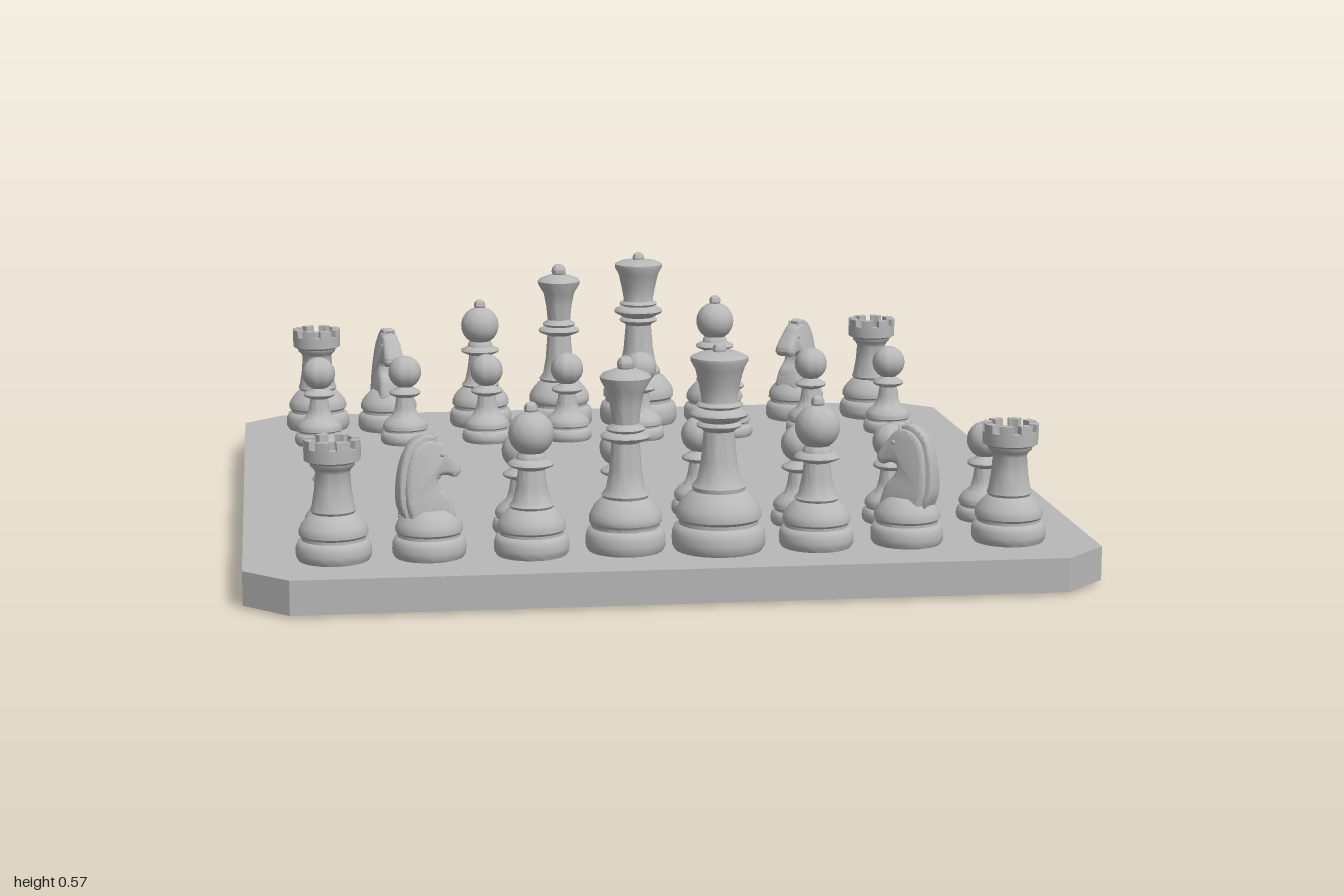
import * as THREE from 'three';
import { toCreasedNormals } from 'three/addons/utils/BufferGeometryUtils.js';

const stone = new THREE.MeshStandardMaterial({ color: 0xb8b8b8 });
stone.name = 'stoneGrey';
const BOARD_TOP = 0.087;

function mesh(name, geometry) {
  const m = new THREE.Mesh(geometry, stone);
  m.name = name;
  return m;
}

// Turned profile: list of [radius, height]
function turned(points) {
  const geo = new THREE.LatheGeometry(points.map(([r, y]) => new THREE.Vector2(r, y)), 28);
  return toCreasedNormals(geo, 0.75);
}

// Shared two-tier foot of radius R and height h
const foot = (R, h) => [
  [0.93, 0], [0.99, 0.08], [1, 0.18], [0.99, 0.3], [0.94, 0.4], [0.85, 0.44], [0.85, 0.5],
  [0.91, 0.55], [0.91, 0.64], [0.86, 0.74], [0.75, 0.86], [0.63, 0.96], [0.56, 1],
].map(([r, y]) => [r * R, y * h]);

// Sphere outline from the neck to the crown (or to the end angle)
function ball(cy, r, start = -1.1, end = Math.PI / 2, n = 9) {
  const pts = [];
  for (let i = 0; i <= n; i++) {
    const a = start + (end - start) * i / n;
    pts.push([Math.max(0, r * Math.cos(a)), cy + r * Math.sin(a)]);
  }
  return pts;
}

// Rounded collar centred on height cy
const collar = (r, cy, h) => [[r * 0.8, cy - h], [r * 0.96, cy - h * 0.5], [r, cy],
  [r * 0.96, cy + h * 0.5], [r * 0.8, cy + h]];

const pawnGeo = turned([...foot(0.068, 0.075), [0.034, 0.08], [0.028, 0.1], [0.024, 0.127],
  ...collar(0.043, 0.139, 0.008), [0.024, 0.152], ...ball(0.196, 0.045)]);

const bishopGeo = turned([...foot(0.088, 0.11), [0.053, 0.116], [0.044, 0.125], [0.036, 0.16], [0.031, 0.2],
  ...collar(0.054, 0.213, 0.008), [0.035, 0.225], [0.033, 0.234],
  ...ball(0.284, 0.053, -1.0, 1.3), ...ball(0.342, 0.016, -0.9)]);

const queenGeo = turned([...foot(0.094, 0.125), [0.056, 0.132], [0.046, 0.145], [0.038, 0.19], [0.033, 0.255],
  ...collar(0.058, 0.269, 0.009), ...collar(0.046, 0.287, 0.007), [0.032, 0.3],
  [0.036, 0.34], [0.043, 0.375], [0.058, 0.4], [0.06, 0.409], [0.053, 0.417],
  [0.034, 0.424], [0.02, 0.429], ...ball(0.438, 0.02, -0.7)]);

const kingGeo = turned([...foot(0.11, 0.14), [0.063, 0.15], [0.051, 0.165], [0.042, 0.21], [0.036, 0.28],
  ...collar(0.053, 0.294, 0.008), ...collar(0.068, 0.32, 0.011), ...collar(0.053, 0.341, 0.007),
  [0.041, 0.352], [0.047, 0.385], [0.056, 0.425], [0.067, 0.445], [0.067, 0.454],
  [0.05, 0.462], [0.018, 0.466], ...ball(0.471, 0.016, -0.3)]);

const rookGeo = turned([...foot(0.088, 0.11), [0.053, 0.116], [0.049, 0.128], [0.043, 0.165], [0.04, 0.205],
  [0.044, 0.214], [0.051, 0.22], [0.053, 0.228], [0.065, 0.234], [0.066, 0.264],
  [0.046, 0.264], [0.046, 0.245], [0, 0.245]]);

// One battlement block of the rook, a curved segment standing on the rim
function merlonGeometry() {
  const s = new THREE.Shape();
  s.absarc(0, 0, 0.066, -0.25, 0.25, false);
  s.absarc(0, 0, 0.046, 0.25, -0.25, true);
  return new THREE.ExtrudeGeometry(s, { depth: 0.02, bevelEnabled: false, curveSegments: 4 })
    .rotateX(-Math.PI / 2).translate(0, 0.263, 0);
}
const merlonGeo = merlonGeometry();

const knightFootGeo = turned([...foot(0.086, 0.11), [0.045, 0.112], [0, 0.112]]);

// Flat outline in the facing plane, bevelled and made thicker towards the chest
function carved(points, thickness, bevel) {
  const shape = new THREE.Shape();
  shape.moveTo(...points[0]);
  shape.splineThru(points.slice(1).map(p => new THREE.Vector2(...p)));
  const geo = new THREE.ExtrudeGeometry(shape, {
    depth: thickness - 2 * bevel, bevelEnabled: true, bevelSize: bevel, bevelThickness: bevel,
    bevelOffset: -bevel, bevelSegments: 3, curveSegments: 28,
  }).translate(0, 0, bevel - thickness / 2);
  const p = geo.attributes.position;
  for (let i = 0; i < p.count; i++) {
    const t = THREE.MathUtils.clamp((p.getY(i) - 0.09) / 0.17, 0, 1);
    p.setZ(i, p.getZ(i) * (1.5 - 0.65 * t));
  }
  return toCreasedNormals(geo, 0.7);
}
const headGeo = carved([[-0.05, 0.08], [-0.062, 0.13], [-0.06, 0.19], [-0.044, 0.245], [-0.01, 0.272],
  [0.024, 0.268], [0.045, 0.245], [0.068, 0.215], [0.072, 0.197], [0.058, 0.185], [0.036, 0.191],
  [0.018, 0.186], [0.022, 0.165], [0.046, 0.135], [0.05, 0.08], [-0.05, 0.08]], 0.054, 0.012);
const maneGeo = carved([[-0.06, 0.09], [-0.075, 0.13], [-0.072, 0.2], [-0.052, 0.257], [-0.015, 0.284],
  [0.012, 0.28], [0, 0.262], [-0.025, 0.24], [-0.04, 0.19], [-0.045, 0.13], [-0.06, 0.09]], 0.036, 0.006);
const earGeo = new THREE.ConeGeometry(0.01, 0.034, 10);
const eyeGeo = new THREE.SphereGeometry(0.006, 10, 8);

const makers = {
  pawn: g => g.add(mesh('pawnBody', pawnGeo)),
  bishop: g => g.add(mesh('bishopBody', bishopGeo)),
  queen: g => g.add(mesh('queenBody', queenGeo)),
  king: g => g.add(mesh('kingBody', kingGeo)),
  rook: g => {
    g.add(mesh('rookTower', rookGeo));
    for (let i = 0; i < 8; i++) {
      const m = mesh('battlement', merlonGeo);
      m.rotation.y = (i + 0.5) * Math.PI / 4;
      g.add(m);
    }
  },
  knight: g => {
    g.add(mesh('knightFoot', knightFootGeo), mesh('horseHead', headGeo), mesh('mane', maneGeo));
    for (const s of [-1, 1]) {
      const ear = mesh('ear', earGeo);
      ear.position.set(0.014, 0.27, s * 0.014);
      ear.rotation.z = -0.2;
      const eye = mesh('eye', eyeGeo);
      eye.position.set(0.026, 0.24, s * 0.023);
      g.add(ear, eye);
    }
  },
};

// Square slab with clipped corners
function slab(name, half, clip, bottom, top) {
  const c = half - clip;
  const s = new THREE.Shape([[c, -half], [half, -c], [half, c], [c, half], [-c, half], [-half, c],
    [-half, -c], [-c, -half]].map(p => new THREE.Vector2(...p)));
  return mesh(name, new THREE.ExtrudeGeometry(s, { depth: top - bottom, bevelEnabled: false })
    .rotateX(-Math.PI / 2).translate(0, bottom, 0));
}

export function createModel() {
  const model = new THREE.Group();
  model.name = 'chessSet';
  model.add(slab('board', 1, 0.105, 0.006, BOARD_TOP), slab('boardUnderside', 0.97, 0.105, 0, 0.006));

  const place = (type, x, z, turn = 0) => {
    const g = new THREE.Group();
    g.name = type;
    makers[type](g);
    g.position.set(x, BOARD_TOP, z);
    g.rotation.y = turn;
    model.add(g);
  };

  // Back ranks, each piece slightly off its square centre
  const rank = ['rook', 'knight', 'bishop', 'queen', 'king', 'bishop', 'knight', 'rook'];
  const back = [[-0.795, -0.803], [-0.597, -0.77, -1.32], [-0.335, -0.803], [-0.112, -0.785],
    [0.115, -0.79], [0.337, -0.803], [0.573, -0.797, -2.32], [0.792, -0.803]];
  const front = [[-0.79, 0.8], [-0.57, 0.793, 0.25], [-0.333, 0.8], [-0.112, 0.785],
    [0.105, 0.8], [0.337, 0.8], [0.555, 0.793, 2.39], [0.798, 0.8]];
  rank.forEach((type, i) => { place(type, ...back[i]); place(type, ...front[i]); });

  // Pawns, one of the front row advanced
  const backPawns = [[-0.795, -0.569], [-0.56, -0.563], [-0.335, -0.563], [-0.112, -0.563],
    [0.09, -0.552], [0.34, -0.563], [0.572, -0.563], [0.793, -0.563]];
  const frontPawns = [[-0.79, 0.561], [-0.57, 0.561], [-0.338, 0.561], [-0.102, 0.555],
    [0.115, 0.415], [0.338, 0.561], [0.563, 0.561], [0.796, 0.565]];
  for (const p of [...backPawns, ...frontPawns]) place('pawn', ...p);

  return model;
}
